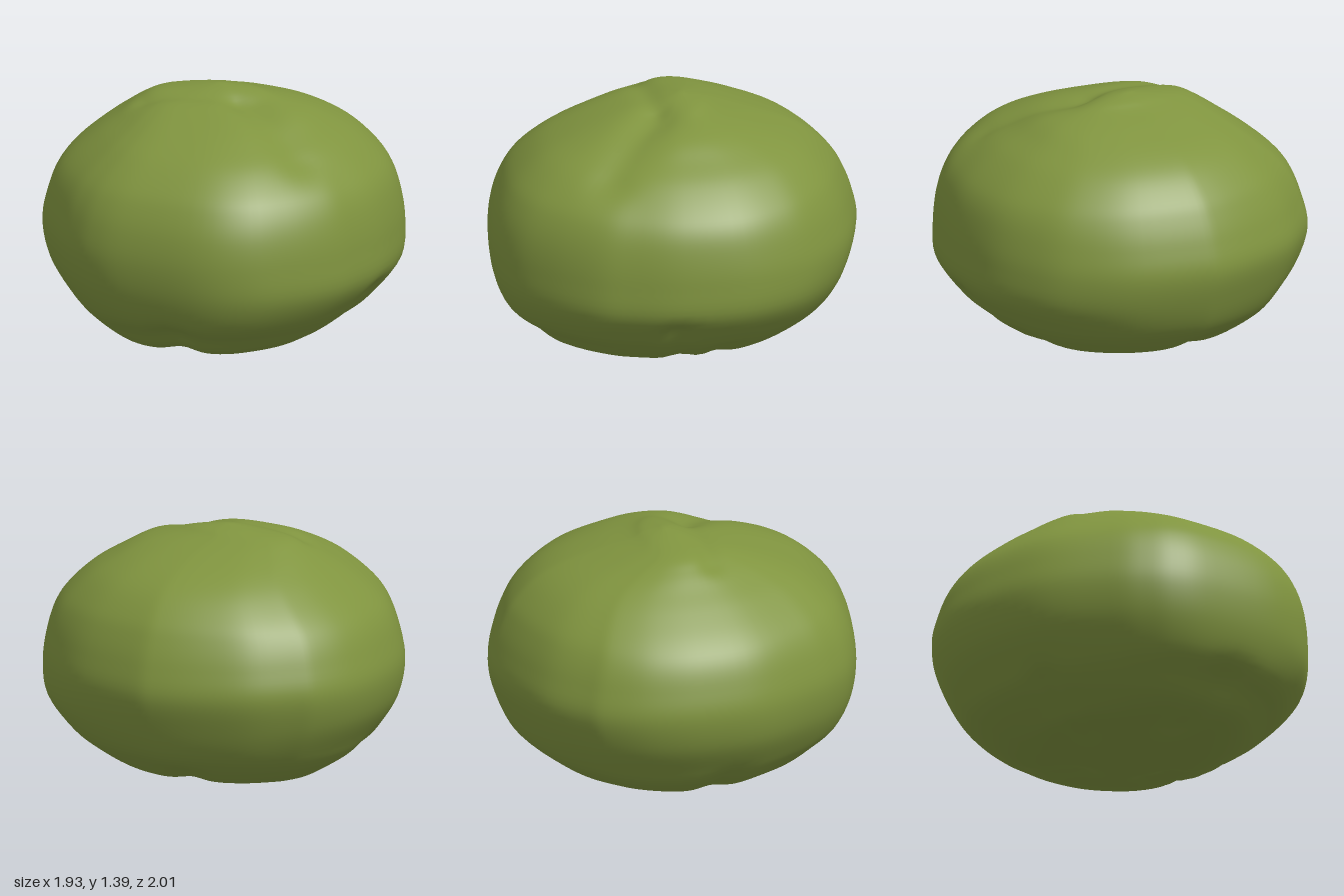
import * as THREE from 'three';
import { mergeVertices } from 'three/addons/utils/BufferGeometryUtils.js';

// Outline seen from above: x, z
const OUTLINE = [
  [-0.05, -1], [0.13, -0.99], [0.48, -0.87], [0.73, -0.68], [0.87, -0.48], [0.96, -0.2],
  [0.95, 0.14], [0.87, 0.41], [0.78, 0.6], [0.6, 0.8], [0.38, 0.95], [0.1, 1],
  [-0.3, 0.93], [-0.5, 0.85], [-0.63, 0.74], [-0.75, 0.58], [-0.92, 0.24], [-0.96, -0.1],
  [-0.92, -0.38], [-0.82, -0.6], [-0.72, -0.71], [-0.53, -0.86], [-0.3, -0.95],
];

// Extents of each level: y, min x, max x, min z, max z
const LEVELS = [
  [0, 0, 0, 0, 0], [0.005, -0.24, 0.19, -0.16, 0.14], [0.04, -0.47, 0.4, -0.36, 0.45],
  [0.1, -0.59, 0.56, -0.6, 0.67], [0.2, -0.74, 0.72, -0.76, 0.79], [0.3, -0.82, 0.83, -0.87, 0.91],
  [0.46, -0.92, 0.95, -0.95, 0.98], [0.64, -0.96, 0.96, -1, 1], [0.8, -0.93, 0.94, -0.97, 0.98],
  [0.93, -0.88, 0.9, -0.92, 0.93], [1.03, -0.8, 0.83, -0.86, 0.86], [1.14, -0.67, 0.71, -0.75, 0.73],
  [1.22, -0.56, 0.58, -0.61, 0.57], [1.29, -0.46, 0.45, -0.41, 0.38], [1.34, -0.36, 0.28, -0.24, 0.2],
  [1.37, -0.18, 0.16, -0.16, 0.07], [1.39, -0.02, -0.02, -0.06, -0.06],
];

// Creases and hollows: start point, end point, radius, depth
const DENTS = [
  [[0.2, 1.33, 0.12], [0.52, 1.1, 0.42], 0.12, 0.045],
  [[-0.4, 1.32, 0.1], [0.1, 1.35, 0.1], 0.07, 0.02],
  [[0.86, 0.36, 0.16], [0.35, 0.05, 0.02], 0.07, 0.05],
  [[0.7, 0.2, -0.15], [0.3, 0.03, -0.1], 0.07, 0.03],
  [[-0.06, 0.22, 0.82], [-0.05, 0.05, 0.45], 0.1, 0.04],
  [[-0.05, 0.14, -0.68], [0, 0.03, -0.3], 0.09, 0.03],
  [[-0.72, 0.2, 0.1], [-0.35, 0.03, 0.05], 0.09, 0.03],
].map(([a, b, radius, depth]) => ({
  line: new THREE.Line3(new THREE.Vector3(...a), new THREE.Vector3(...b)), radius, depth,
}));

const spline = (points, closed) => new THREE.CatmullRomCurve3(points, closed, 'catmullrom', 0.5);

function bodyGeometry(rows = 80, columns = 112) {
  const outline = spline(OUTLINE.map(([x, z]) => new THREE.Vector3(x, 0, z)), true);
  const widths = spline(LEVELS.map(([y, a, b]) => new THREE.Vector3(a, y, b)));
  const depths = spline(LEVELS.map(([y, , , a, b]) => new THREE.Vector3(a, y, b)));
  const centre = new THREE.Vector3(0, 0.68, 0);
  const nearest = new THREE.Vector3();
  const positions = [], index = [];

  for (let i = 0; i <= rows; i++) {
    const w = widths.getPoint(i / rows), d = depths.getPoint(i / rows);
    for (let j = 0; j < columns; j++) {
      const o = outline.getPoint(j / columns);
      const p = new THREE.Vector3(
        (w.x + w.z) / 2 + o.x * (w.z - w.x) / 1.92,
        Math.max(0, w.y),
        (d.x + d.z) / 2 + o.z * (d.z - d.x) / 2);
      // Press the creases towards the middle
      let push = 0;
      for (const { line, radius, depth } of DENTS) {
        line.closestPointToPoint(p, true, nearest);
        push += depth * Math.exp(-p.distanceToSquared(nearest) / (radius * radius));
      }
      p.addScaledVector(centre.clone().sub(p).normalize(), push);
      positions.push(p.x, p.y, p.z);
      if (i < rows) {
        const a = i * columns + j, b = i * columns + (j + 1) % columns;
        index.push(a, a + columns, b, b, a + columns, b + columns);
      }
    }
  }
  const geometry = new THREE.BufferGeometry();
  geometry.setAttribute('position', new THREE.Float32BufferAttribute(positions, 3));
  geometry.setIndex(index);
  const merged = mergeVertices(geometry, 1e-4);
  merged.computeVertexNormals();
  return merged;
}

export function createModel() {
  const model = new THREE.Group();
  const olive = new THREE.MeshStandardMaterial({ color: 0x80943f });
  olive.name = 'olive green';
  const body = new THREE.Mesh(bodyGeometry(), olive);
  body.name = 'roundedBody';
  model.add(body);
  return model;
}
